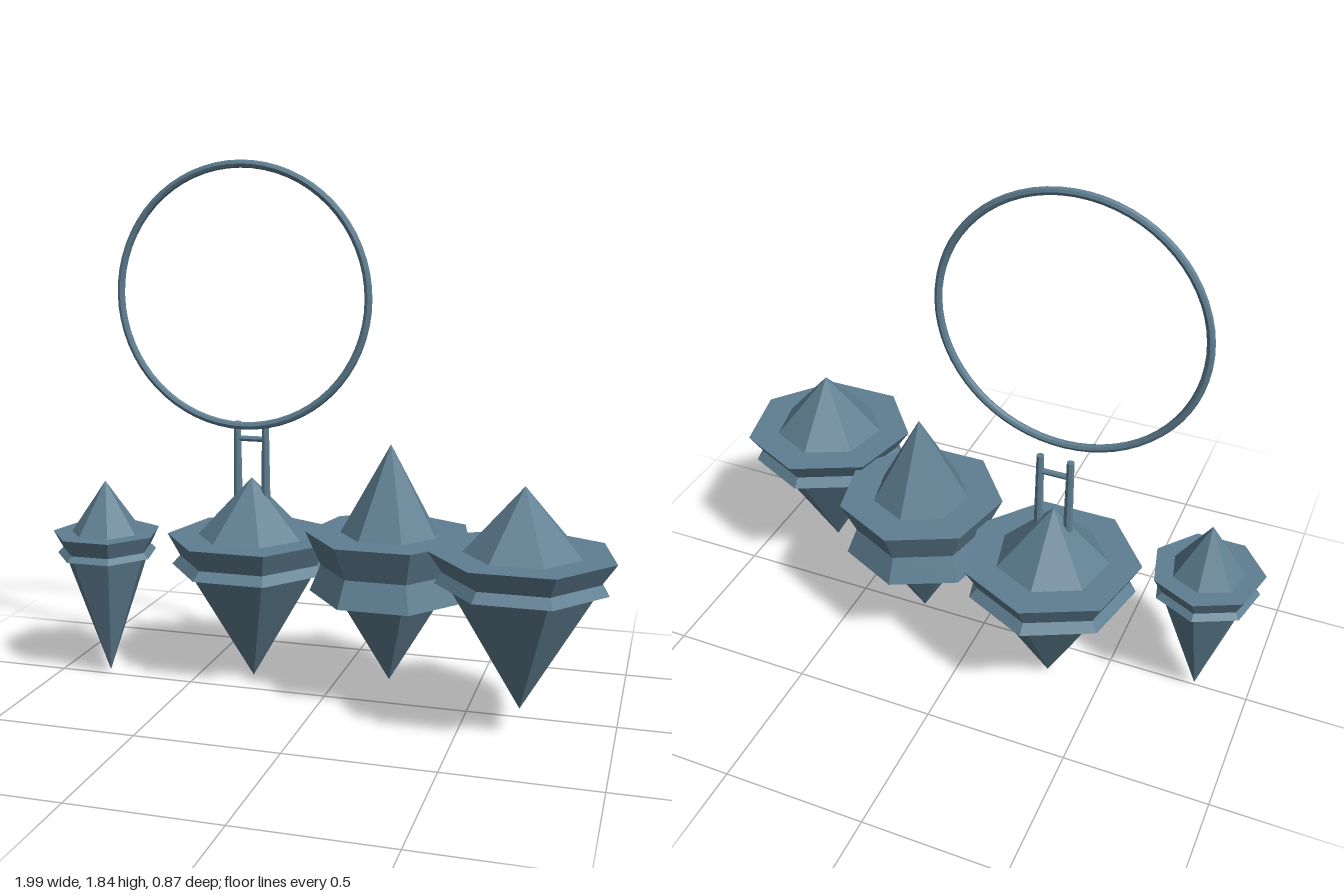
import * as THREE from 'three';

const slate = new THREE.MeshStandardMaterial({ color: 0x5f7f92, flatShading: true });
slate.name = 'slateBlue';

function addMesh(parent, name, geometry, x, y, z) {
  const mesh = new THREE.Mesh(geometry, slate);
  mesh.name = name;
  mesh.position.set(x, y, z);
  parent.add(mesh);
  return mesh;
}

// Seven-sided crystal: lower spike, flared collar, waist, wide rim, upper peak.
// Each profile is a list of [radius, height], from bottom to top.
const crystals = [
  { name: 'smallCrystal', x: -0.812, z: -0.003,
    profile: [[0, 0.025], [0.155, 0.465], [0.18, 0.465], [0.16, 0.485], [0.193, 0.545], [0.125, 0.545], [0, 0.73]] },
  { name: 'ringCrystal', x: -0.305, z: -0.132,
    profile: [[0, 0.01], [0.25, 0.425], [0.291, 0.425], [0.262, 0.457], [0.306, 0.537], [0.195, 0.537], [0, 0.746]] },
  { name: 'tallCrystal', x: 0.218, z: -0.055,
    profile: [[0, 0.075], [0.19, 0.392], [0.276, 0.392], [0.238, 0.484], [0.291, 0.6], [0.17, 0.6], [0, 0.906]] },
  { name: 'frontCrystal', x: 0.699, z: 0.16,
    profile: [[0, 0.104], [0.242, 0.52], [0.281, 0.52], [0.255, 0.553], [0.303, 0.623], [0.193, 0.623], [0, 0.837]] },
];

export function createModel() {
  const model = new THREE.Group();
  model.name = 'floatingCrystals';

  // Crystals, one corner pointing to the back
  for (const { name, x, z, profile } of crystals) {
    const points = profile.map(([r, y]) => new THREE.Vector2(r, y));
    addMesh(model, name, new THREE.LatheGeometry(points, 7, Math.PI), x, 0, z);
  }

  // Large hovering ring
  addMesh(model, 'ring', new THREE.TorusGeometry(0.444, 0.0135, 8, 64), -0.305, 1.39, -0.045);

  // Gate of two posts and a crossbar
  const gate = new THREE.Group();
  gate.name = 'gate';
  gate.position.set(-0.305, 0, -0.132);
  for (const side of [-1, 1]) {
    addMesh(gate, side < 0 ? 'rightPost' : 'leftPost',
      new THREE.CylinderGeometry(0.013, 0.017, 0.31, 8), side * 0.052, 0.79, 0);
  }
  addMesh(gate, 'crossbar', new THREE.CylinderGeometry(0.01, 0.01, 0.104, 8), 0, 0.885, 0)
    .rotation.z = Math.PI / 2;
  model.add(gate);

  return model;
}
